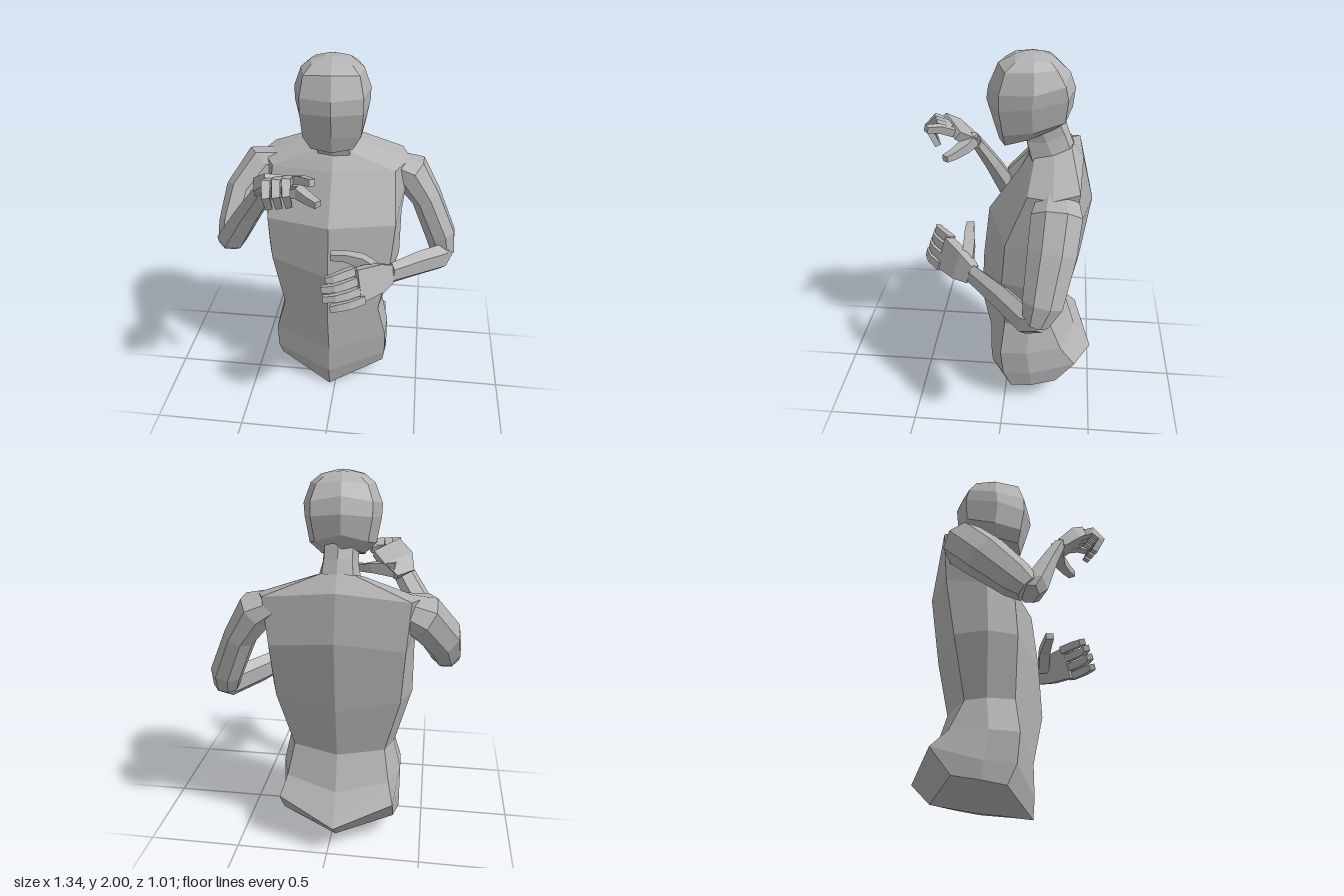
import * as THREE from 'three';

const CX = -0.035; // centre line of the body
const V = (x, y, z) => new THREE.Vector3(x, y, z);

// Faceted closed skin over a list of equal-length rings, wound outwards
function loft(rings) {
  const faces = [];
  const n = rings[0].length;
  for (let r = 0; r < rings.length - 1; r++) {
    for (let i = 0; i < n; i++) {
      const j = (i + 1) % n;
      faces.push([rings[r][i], rings[r][j], rings[r + 1][j], rings[r + 1][i]]);
    }
  }
  const cap = (ring, flip) => {
    const mid = ring.reduce((s, p) => s.add(p), V(0, 0, 0)).divideScalar(n);
    ring.forEach((p, i) => {
      const q = ring[(i + 1) % n];
      faces.push(flip ? [mid, q, p] : [mid, p, q]);
    });
  };
  cap(rings[0], true);
  cap(rings[rings.length - 1], false);

  const split = (f) => (f.length === 4 ? [f[0], f[1], f[2], f[0], f[2], f[3]] : f);
  const origin = rings[0][0];
  let volume = 0;
  for (const p of faces.map(split)) {
    for (let k = 0; k < p.length; k += 3) {
      const [a, b, c] = [p[k], p[k + 1], p[k + 2]].map((q) => q.clone().sub(origin));
      volume += a.dot(b.cross(c));
    }
  }
  if (volume < 0) faces.forEach((f) => f.reverse());

  // One flat normal per face, so that bent quads still read as one facet
  const normals = faces.flatMap((f) => {
    const end = f[f.length - 1];
    const d = f.length === 4 ? f[2].clone().sub(f[0]).cross(end.clone().sub(f[1]))
      : f[1].clone().sub(f[0]).cross(end.clone().sub(f[0]));
    d.normalize();
    return split(f).flatMap(() => d.toArray());
  });
  const geo = new THREE.BufferGeometry().setFromPoints(faces.flatMap(split));
  geo.setAttribute('normal', new THREE.Float32BufferAttribute(normals, 3));
  return geo;
}

// Mirrored eight-point ring: front centre, front side, side, back side, back centre
function bodyRing([[fy, fz], front, side, back, [by, bz]]) {
  const half = [front, side, back];
  return [
    V(CX, fy, fz),
    ...half.map(([x, y, z]) => V(CX + x, y, z)),
    V(CX, by, bz),
    ...half.slice().reverse().map(([x, y, z]) => V(CX - x, y, z)),
  ];
}

// Limb along rows of [x, y, z, half width, half thickness]; wide sets the width direction
function limb(rows, wide, sides) {
  const pts = rows.map(([x, y, z]) => V(x, y, z));
  const ref = V(...wide);
  const flat = sides % 4 === 0; // box and octagon sections lie on their flats
  return loft(rows.map(([, , , a, b], k) => {
    const t = pts[Math.min(k + 1, pts.length - 1)].clone().sub(pts[Math.max(k - 1, 0)]).normalize();
    const u = ref.clone().addScaledVector(t, -ref.dot(t)).normalize();
    const w = t.clone().cross(u);
    return Array.from({ length: sides }, (_, i) => {
      const ang = ((i + (flat ? 0.5 : 0)) / sides) * Math.PI * 2;
      const s = flat ? 1 / Math.cos(Math.PI / sides) : 1;
      return pts[k].clone()
        .addScaledVector(u, Math.cos(ang) * a * s)
        .addScaledVector(w, Math.sin(ang) * b * s);
    });
  }));
}

export function createModel() {
  const model = new THREE.Group();
  model.name = 'upperBodyFigure';
  const clay = new THREE.MeshStandardMaterial({ color: 0xb3b3b3 });
  clay.name = 'grey clay';
  const add = (name, geo) => {
    const mesh = new THREE.Mesh(geo, clay);
    mesh.name = name;
    model.add(mesh);
  };

  // Torso, from the pointed crotch up to the neck base
  add('torso', loft([
    [[0, 0.105], [0.01, 0.01, 0.03], [0.015, 0.025, -0.16], [0.01, 0.045, -0.28], [0.07, -0.41]],
    [[0, 0.105], [0.32, 0.1, -0.04], [0.335, 0.12, -0.16], [0.31, 0.145, -0.3], [0.07, -0.41]],
    [[0.11, 0.113], [0.33, 0.2, 0.005], [0.335, 0.21, -0.15], [0.31, 0.28, -0.405], [0.165, -0.505]],
    [[0.28, 0.11], [0.33, 0.35, 0.02], [0.335, 0.36, -0.13], [0.28, 0.37, -0.32], [0.33, -0.4]],
    [[0.53, 0.16], [0.28, 0.53, 0], [0.295, 0.53, -0.14], [0.25, 0.53, -0.25], [0.53, -0.34]],
    [[0.82, 0.145], [0.34, 0.85, 0.01], [0.385, 0.85, -0.14], [0.33, 0.85, -0.31], [0.82, -0.4]],
    [[1.12, 0.11], [0.36, 1.1, -0.01], [0.385, 1.12, -0.15], [0.35, 1.15, -0.36], [1.21, -0.455]],
    [[1.375, -0.06], [0.34, 1.375, -0.12], [0.42, 1.4, -0.25], [0.37, 1.415, -0.38], [1.45, -0.395]],
    [[1.46, -0.11], [0.09, 1.47, -0.14], [0.12, 1.5, -0.24], [0.08, 1.53, -0.33], [1.53, -0.34]],
  ].map(bodyRing)));

  // Neck, leaning forward into the head
  add('neck', loft([
    [[1.44, -0.11], [0.09, 1.45, -0.13], [0.11, 1.48, -0.24], [0.08, 1.5, -0.33], [1.5, -0.35]],
    [[1.54, -0.09], [0.07, 1.55, -0.1], [0.09, 1.56, -0.2], [0.07, 1.6, -0.29], [1.6, -0.31]],
    [[1.64, -0.06], [0.07, 1.64, -0.07], [0.09, 1.66, -0.16], [0.07, 1.68, -0.25], [1.68, -0.28]],
  ].map(bodyRing)));

  // Head, from jaw to crown, turned slightly to its left
  const head = loft([
    [[1.54, 0.05], [0.11, 1.55, 0.02], [0.11, 1.58, -0.1], [0.08, 1.62, -0.22], [1.645, -0.29]],
    [[1.64, 0.08], [0.15, 1.62, 0.03], [0.17, 1.64, -0.12], [0.13, 1.68, -0.28], [1.72, -0.325]],
    [[1.76, 0.115], [0.16, 1.75, 0.05], [0.195, 1.77, -0.11], [0.15, 1.8, -0.29], [1.82, -0.335]],
    [[1.83, 0.105], [0.16, 1.83, 0.05], [0.198, 1.84, -0.12], [0.15, 1.87, -0.275], [1.9, -0.305]],
    [[1.945, 0.055], [0.14, 1.935, 0.02], [0.16, 1.94, -0.12], [0.125, 1.945, -0.23], [1.96, -0.24]],
    [[1.99, -0.03], [0.1, 1.975, -0.03], [0.11, 1.98, -0.12], [0.09, 1.975, -0.2], [1.99, -0.2]],
    [[2, -0.08], [0.03, 1.997, -0.08], [0.04, 1.997, -0.12], [0.03, 1.997, -0.16], [2, -0.16]],
  ].map(bodyRing));
  head.translate(-CX, 0, 0.11).rotateY(0.08).translate(CX, 0, -0.11);
  add('head', head);

  // Left arm, bent across the belly
  const up = [0, 1, 0];
  add('leftUpperArm', limb([
    [0.28, 1.36, -0.27, 0.1, 0.06], [0.39, 1.31, -0.27, 0.125, 0.1], [0.485, 1.17, -0.255, 0.12, 0.08],
    [0.585, 0.94, -0.22, 0.1, 0.082], [0.605, 0.84, -0.19, 0.065, 0.065],
  ], [0, 0, 1], 8));
  add('leftForearm', limb([
    [0.64, 0.86, -0.21, 0.05, 0.035], [0.59, 0.835, -0.14, 0.085, 0.055],
    [0.45, 0.865, 0, 0.08, 0.05], [0.31, 0.9, 0.165, 0.066, 0.035],
  ], up, 6));
  const tilt = [-0.22, 1, -0.22];
  add('leftPalm', limb([
    [0.31, 0.9, 0.165, 0.05, 0.026], [0.25, 0.915, 0.235, 0.078, 0.036], [0.145, 0.925, 0.34, 0.092, 0.028],
  ], tilt, 4));
  add('leftThumb', limb([
    [0.25, 0.92, 0.2, 0.04, 0.03], [0.15, 0.995, 0.2, 0.03, 0.03],
    [0.07, 1.02, 0.21, 0.022, 0.025], [-0.01, 1.02, 0.215, 0.018, 0.022],
  ], up, 4));
  [[0.995, -0.01], [0.948, -0.03], [0.9, -0.02], [0.855, 0.02]].forEach(([y, tip], i) => {
    const s = (i - 1.5) * 0.018; // lower fingers sit further out
    add('leftFinger' + (i + 1), limb([
      [0.155 + s, y, 0.33 + s, 0.022, 0.022], [0.085 + s, y + 0.005, 0.395 + s, 0.021, 0.021],
      [0.04 + s / 2, y + 0.003, 0.42 + s, 0.019, 0.019], [tip, y - 0.005, 0.425 + s, 0.017, 0.017],
    ], tilt, 4));
  });

  // Right arm, forearm raised towards the chin
  const across = [0.95, -0.05, -0.3];
  add('rightUpperArm', limb([
    [-0.34, 1.36, -0.28, 0.06, 0.09], [-0.45, 1.32, -0.265, 0.11, 0.115], [-0.555, 1.18, -0.155, 0.1, 0.11],
    [-0.59, 1.04, -0.01, 0.08, 0.09], [-0.6, 0.985, 0.045, 0.065, 0.065],
  ], [1, 0, 0], 8));
  add('rightForearm', limb([
    [-0.61, 0.955, 0.05, 0.06, 0.045], [-0.585, 1.0, 0.07, 0.085, 0.07],
    [-0.46, 1.21, 0.15, 0.075, 0.05], [-0.345, 1.39, 0.225, 0.064, 0.035],
  ], across, 6));
  add('rightPalm', limb([
    [-0.345, 1.39, 0.225, 0.052, 0.026], [-0.295, 1.455, 0.285, 0.092, 0.034], [-0.225, 1.52, 0.345, 0.09, 0.026],
  ], across, 4));
  add('rightThumb', limb([
    [-0.29, 1.42, 0.235, 0.04, 0.035], [-0.16, 1.42, 0.265, 0.028, 0.03],
    [-0.1, 1.405, 0.31, 0.022, 0.024], [-0.05, 1.4, 0.35, 0.017, 0.02],
  ], up, 4));
  add('rightIndexFinger', limb([
    [-0.165, 1.51, 0.32, 0.022, 0.022], [-0.12, 1.545, 0.385, 0.021, 0.021], [-0.06, 1.565, 0.445, 0.017, 0.017],
  ], across, 4));
  [0.03, -0.018, -0.066].forEach((s, i) => {
    const [x, y, z] = [-0.22 + s * 0.95, 1.515, 0.34 - s * 0.3];
    add('rightCurledFinger' + (i + 1), limb([
      [x, y, z, 0.022, 0.022], [x, y + 0.025, z + 0.075, 0.021, 0.021],
      [x + 0.005, y - 0.02, z + 0.12, 0.019, 0.019], [x + 0.01, y - 0.095, z + 0.08, 0.017, 0.017],
    ], across, 4));
  });

  return model;
}
